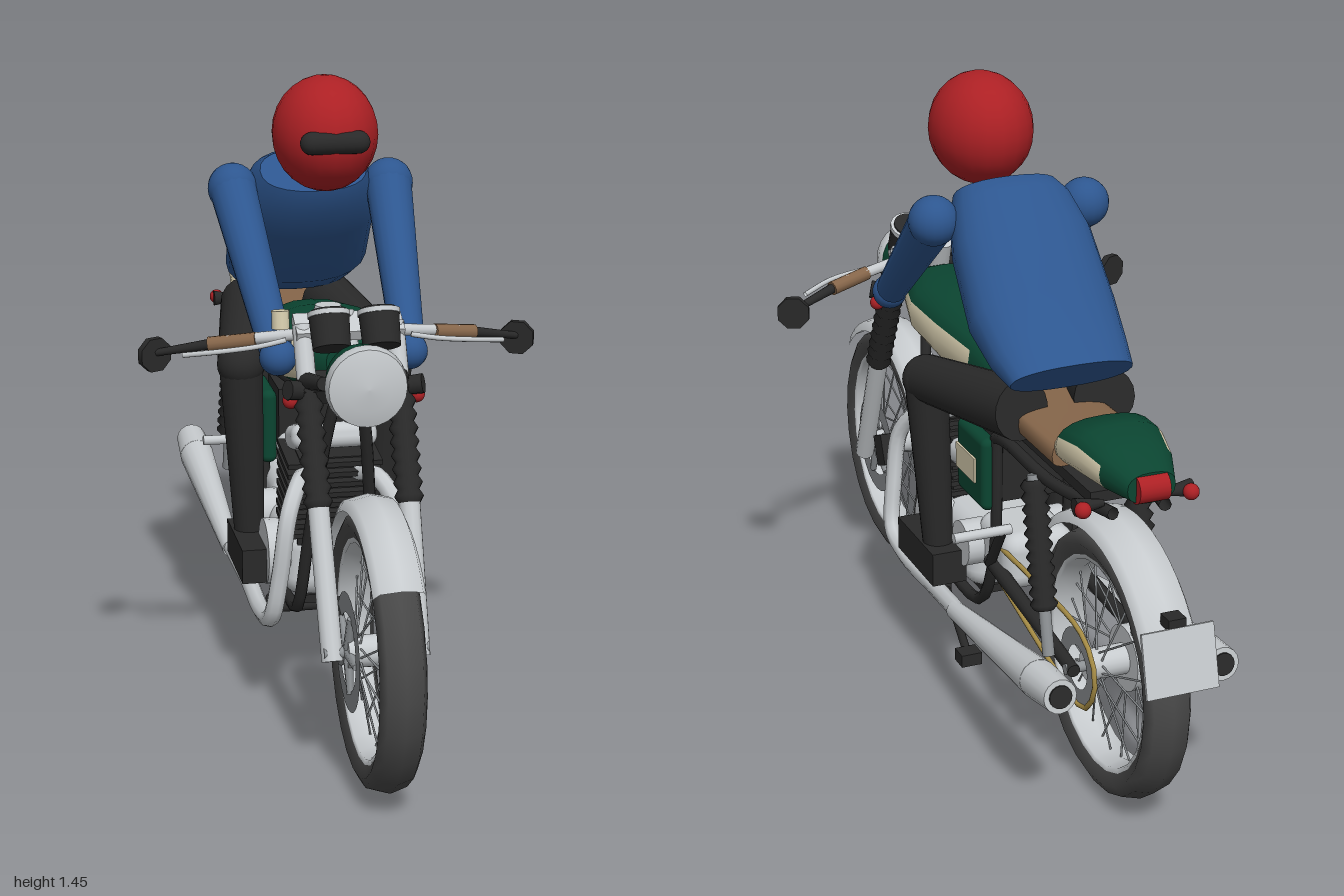
import * as THREE from 'three';
import { RoundedBoxGeometry } from 'three/addons/geometries/RoundedBoxGeometry.js';

const paint = (name, color) => new THREE.MeshStandardMaterial({ name, color, side: THREE.DoubleSide });
const V = (p) => new THREE.Vector3(...p);

export function createModel() {
  const red = paint('red', 0xac2024), blue = paint('blue', 0x2d568f), black = paint('black', 0x292929);
  const rubber = paint('rubber', 0x484848), silver = paint('silver', 0xc6cacd), grey = paint('grey', 0x8c9093);
  const green = paint('green', 0x0b4531), cream = paint('cream', 0xd9cfb0), brown = paint('brown', 0x86664a);
  const gold = paint('gold', 0xa68c45);
  const model = new THREE.Group();
  let parent = model;

  const add = (name, geo, mat, pos = [0, 0, 0], rot = [0, 0, 0]) => {
    const m = new THREE.Mesh(geo, mat);
    m.name = name;
    m.position.set(...pos);
    m.rotation.set(...rot);
    parent.add(m);
    return m;
  };
  const box = (name, size, mat, pos, rot) => add(name, new THREE.BoxGeometry(...size), mat, pos, rot);
  const ball = (name, r, mat, pos) => add(name, new THREE.SphereGeometry(r, 20, 14), mat, pos);
  // places a y-aligned geometry so that its axis runs from a to b
  const along = (name, make, mat, a, b) => {
    const d = V(b).sub(V(a)), m = add(name, make(d.length()), mat);
    m.position.copy(V(a)).addScaledVector(d, 0.5);
    m.quaternion.setFromUnitVectors(V([0, 1, 0]), d.normalize());
    return m;
  };
  const rod = (name, a, b, r1, r2, mat, seg = 12) =>
    along(name, (l) => new THREE.CylinderGeometry(r2, r1, l, seg), mat, a, b);
  // ribbed sleeve for gaiters and springs
  const bellows = (name, a, b, r1, r2, n, mat) => along(name, (l) => new THREE.LatheGeometry(
    Array.from({ length: 2 * n + 1 }, (_, i) => new THREE.Vector2(i % 2 ? r1 : r2, l * (i / (2 * n) - 0.5))), 12), mat, a, b);
  const pipe = (name, pts, r, mat, n = 28) =>
    add(name, new THREE.TubeGeometry(new THREE.CatmullRomCurve3(pts.map(V)), n, r, 8), mat);
  // revolves [radius, x] points about the x axis; angles run from +z up to +y
  const axle = (name, pts, mat, pos, from = 0, to = 360, seg = 24) => {
    const rad = Math.PI / 180;
    const g = new THREE.LatheGeometry(pts.map((p) => new THREE.Vector2(...p)), seg, from * rad, (to - from) * rad);
    return add(name, g.rotateZ(Math.PI / 2), mat, pos);
  };
  const disc = (name, r, w, mat, pos, seg = 20) =>
    add(name, new THREE.CylinderGeometry(r, r, w, seg), mat, pos, [0, 0, Math.PI / 2]);
  // skin over oval sections [z, y, halfWidth, halfHeight, tilt], listed front to back
  const loft = (name, rings, mats, pick = () => 0, power = 1, seg = 20) => {
    const pos = [], idx = [], g = new THREE.BufferGeometry();
    const bend = (v) => Math.sign(v) * Math.abs(v) ** power;
    const ring = ([z, y, w, h, t = 0]) => {
      for (let j = 0; j < seg; j++) {
        const a = (j / seg) * Math.PI * 2, u = bend(Math.sin(a)) * h;
        pos.push(bend(Math.cos(a)) * w, y + u * Math.cos(t), z + u * Math.sin(t));
      }
    };
    const tri = (m, ...v) => { g.addGroup(idx.length, v.length, m); idx.push(...v); };
    rings.forEach(ring);
    for (let i = 0; i < rings.length - 1; i++) for (let j = 0; j < seg; j++) {
      const a = i * seg + j, b = i * seg + (j + 1) % seg, c = a + seg, d = b + seg;
      tri(pick(i, j), a, c, b, b, c, d);
    }
    [rings[0], rings[rings.length - 1]].forEach((r, end) => {
      const s = pos.length / 3;
      ring(r);
      pos.push(0, r[1], r[0]);
      for (let j = 0; j < seg; j++) {
        const k = (j + 1) % seg;
        tri(0, s + seg, s + (end ? k : j), s + (end ? j : k));
      }
    });
    g.setAttribute('position', new THREE.Float32BufferAttribute(pos, 3));
    g.setIndex(idx);
    g.computeVertexNormals();
    return add(name, g, mats);
  };
  const group = (name, build) => {
    parent = new THREE.Group();
    parent.name = name;
    model.add(parent);
    build();
    parent = model;
  };
  const bothSides = (build) => [1, -1].forEach(build);

  // wheels with tyre, rim, spokes, hub and discs
  const wheel = (name, y, z, w) => group(name, () => {
    const c = [0, y, z];
    axle('tyre', [[0.238, -w * 0.7], [0.27, -w], [0.293, -w * 0.75], [0.305, 0], [0.293, w * 0.75], [0.27, w], [0.238, w * 0.7]], rubber, c);
    axle('rim', [[0.243, -w * 0.75], [0.232, -w * 0.7], [0.222, 0], [0.232, w * 0.7], [0.243, w * 0.75]], silver, c);
    disc('hub', 0.035, 0.13, silver, c);
    disc('axle', 0.012, 0.23, grey, c);
    for (let i = 0; i < 28; i++) {
      const a = (i / 28) * Math.PI * 2, b = a + (i % 4 < 2 ? 0.5 : -0.5), x = i % 2 ? 0.04 : -0.04;
      rod('spoke', [x, y + 0.035 * Math.sin(b), z + 0.035 * Math.cos(b)],
        [0, y + 0.228 * Math.sin(a), z + 0.228 * Math.cos(a)], 0.0025, 0.0025, grey, 5);
    }
  });
  wheel('frontWheel', 0.31, 0.69, 0.05);
  wheel('rearWheel', 0.315, -0.665, 0.055);
  bothSides((s) => {
    axle('brakeDisc', [[0.085, 0], [0.13, 0]], grey, [s * 0.062, 0.31, 0.69]);
    for (let i = 0; i < 5; i++) {
      const a = i * Math.PI * 0.4;
      rod('discArm', [s * 0.062, 0.31, 0.69], [s * 0.062, 0.31 + 0.09 * Math.sin(a), 0.69 + 0.09 * Math.cos(a)], 0.012, 0.008, grey, 6);
    }
    box('brakeCaliper', [0.04, 0.08, 0.06], black, [s * 0.075, 0.34, 0.575], [0.4, 0, 0]);
  });
  axle('sprocket', [[0.05, 0], [0.09, 0]], grey, [0.085, 0.315, -0.665]);
  disc('rearDrum', 0.075, 0.05, silver, [-0.05, 0.315, -0.665]);

  // mudguards and number plate
  const guard = (r, w) => [[r - 0.035, -w], [r - 0.01, -w * 0.8], [r, 0], [r - 0.01, w * 0.8], [r - 0.035, w]];
  axle('frontMudguard', guard(0.335, 0.056), silver, [0, 0.31, 0.69], 42, 156, 14);
  axle('rearMudguard', guard(0.35, 0.065), silver, [0, 0.315, -0.665], 42, 163, 16);
  box('numberPlate', [0.165, 0.14, 0.008], silver, [0, 0.47, -0.985], [0.25, 0, 0]);
  box('plateLamp', [0.04, 0.025, 0.04], black, [0, 0.545, -0.95]);

  // fork, clip-on bars, mirrors
  group('fork', () => {
    bothSides((s) => {
      rod('forkLower', [s * 0.095, 0.29, 0.69], [s * 0.1, 0.6, 0.552], 0.024, 0.024, silver);
      bellows('forkGaiter', [s * 0.1, 0.59, 0.557], [s * 0.103, 0.83, 0.435], 0.033, 0.024, 9, black);
      rod('forkTop', [s * 0.103, 0.83, 0.435], [s * 0.103, 0.95, 0.375], 0.022, 0.022, silver);
      rod('headlampBracket', [s * 0.105, 0.84, 0.43], [s * 0.085, 0.86, 0.53], 0.02, 0.015, black);
      ball('reflector', 0.018, red, [s * 0.14, 0.8, 0.44]);
      rod('indicatorStem', [s * 0.1, 0.82, 0.44], [s * 0.15, 0.83, 0.46], 0.02, 0.022, black);
      rod('handlebar', [s * 0.1, 0.93, 0.37], [s * 0.26, 0.91, 0.325], 0.013, 0.013, silver);
      rod('grip', [s * 0.2, 0.915, 0.345], [s * 0.3, 0.9, 0.31], 0.017, 0.017, brown);
      rod('barEnd', [s * 0.3, 0.9, 0.31], [s * 0.41, 0.875, 0.265], 0.012, 0.008, black);
      rod('mirror', [s * 0.41, 0.87, 0.27], [s * 0.417, 0.87, 0.254], 0.04, 0.04, black, 8);
      pipe('lever', [[s * 0.14, 0.92, 0.38], [s * 0.2, 0.91, 0.385], [s * 0.28, 0.9, 0.375], [s * 0.36, 0.885, 0.335]], 0.006, silver, 12);
      rod('gauge', [s * 0.055, 0.92, 0.47], [s * 0.055, 0.985, 0.435], 0.042, 0.045, black, 16);
      rod('gaugeRim', [s * 0.055, 0.982, 0.437], [s * 0.055, 0.992, 0.432], 0.047, 0.047, silver, 16);
      rod('gaugeFace', [s * 0.055, 0.99, 0.433], [s * 0.055, 0.996, 0.43], 0.039, 0.039, black, 16);
    });
    box('topYoke', [0.24, 0.025, 0.07], silver, [0, 0.945, 0.375], [0.45, 0, 0]);
    box('lowerYoke', [0.24, 0.035, 0.07], black, [0, 0.825, 0.43], [0.45, 0, 0]);
    rod('steeringStem', [0, 0.8, 0.42], [0, 0.97, 0.34], 0.03, 0.02, silver);
    rod('reservoir', [-0.15, 0.945, 0.375], [-0.15, 0.985, 0.37], 0.02, 0.02, cream);
  });

  // headlamp
  group('headlamp', () => {
    const bowl = (pts) => new THREE.LatheGeometry(pts.map((p) => new THREE.Vector2(...p)), 24).rotateX(Math.PI / 2);
    add('headlampShell', bowl([[0, 0.455], [0.05, 0.465], [0.075, 0.5], [0.082, 0.57]]), green, [0, 0.862, 0]);
    add('headlampRim', bowl([[0.082, 0.56], [0.09, 0.568], [0.085, 0.592]]), silver, [0, 0.862, 0]);
    add('headlampLens', bowl([[0.085, 0.592], [0.05, 0.602], [0, 0.606]]), silver, [0, 0.862, 0]);
  });

  // tank, seat and tail
  const sidePanel = (first, last) => (i, j) => (i >= first && i <= last && [0, 19, 8, 9, 10, 11, 18].includes(j) ? 1 : 0);
  loft('fuelTank', [[0.38, 0.865, 0.05, 0.035], [0.33, 0.855, 0.11, 0.062], [0.22, 0.843, 0.137, 0.077], [0.07, 0.835, 0.133, 0.086],
    [-0.08, 0.82, 0.105, 0.075], [-0.22, 0.8, 0.08, 0.045]], [green, cream], sidePanel(1, 3), 0.8);
  rod('fuelCap', [0, 0.915, 0.14], [0, 0.935, 0.14], 0.035, 0.03, silver, 16);
  loft('seat', [[-0.18, 0.785, 0.08, 0.025], [-0.35, 0.78, 0.11, 0.028], [-0.58, 0.783, 0.112, 0.03]], brown, undefined, 0.5);
  loft('tailHump', [[-0.56, 0.795, 0.1, 0.035], [-0.6, 0.815, 0.113, 0.056], [-0.68, 0.82, 0.103, 0.061], [-0.76, 0.81, 0.085, 0.05],
    [-0.835, 0.797, 0.055, 0.034]], [green, cream], sidePanel(0, 2), 0.8);
  disc('tailLamp', 0.032, 0.07, red, [0, 0.795, -0.825]);
  box('seatPan', [0.18, 0.025, 0.62], black, [0, 0.745, -0.42]);

  // frame, swingarm, shocks, stands and side covers
  group('frame', () => {
    bothSides((s) => {
      pipe('cradleTube', [[s * 0.02, 0.82, 0.39], [s * 0.04, 0.72, 0.365], [s * 0.07, 0.45, 0.29], [s * 0.085, 0.24, 0.22], [s * 0.085, 0.215, 0.12],
        [s * 0.085, 0.22, -0.1], [s * 0.09, 0.38, -0.2], [s * 0.09, 0.69, -0.22]], 0.014, black);
      pipe('rearTube', [[s * 0.09, 0.68, -0.21], [s * 0.1, 0.705, -0.3], [s * 0.1, 0.71, -0.55], [s * 0.06, 0.725, -0.78]], 0.014, black);
      pipe('topTube', [[s * 0.03, 0.78, 0.38], [s * 0.05, 0.73, 0.1], [s * 0.09, 0.71, -0.25]], 0.014, black);
      rod('swingarm', [s * 0.09, 0.36, -0.18], [s * 0.1, 0.315, -0.68], 0.018, 0.015, black);
      bellows('shockSpring', [s * 0.12, 0.7, -0.5], [s * 0.125, 0.42, -0.575], 0.032, 0.022, 11, black);
      rod('shockBody', [s * 0.12, 0.71, -0.495], [s * 0.125, 0.32, -0.6], 0.014, 0.014, grey);
      rod('footPeg', [s * 0.09, 0.49, -0.3], [s * 0.23, 0.49, -0.3], 0.012, 0.012, silver);
      rod('pegStrut', [s * 0.1, 0.36, -0.2], [s * 0.11, 0.49, -0.3], 0.012, 0.012, black);
      rod('rearIndicator', [s * 0.07, 0.74, -0.75], [s * 0.135, 0.74, -0.75], 0.008, 0.02, black);
      ball('indicatorLens', 0.018, red, [s * 0.125, 0.74, -0.77]);
      add('sideCover', new RoundedBoxGeometry(0.04, 0.18, 0.17, 3, 0.018), green, [s * 0.105, 0.59, -0.135]);
      box('sideCoverPanel', [0.008, 0.06, 0.115], cream, [s * 0.126, 0.59, -0.12]);
      rod('standLeg', [s * 0.085, 0.21, 0.12], [s * 0.12, 0.19, 0.03], 0.012, 0.012, black);
    });
    box('batteryBox', [0.16, 0.16, 0.15], black, [0, 0.6, -0.14]);
    rod('standCrossbar', [-0.12, 0.2, 0.12], [0.12, 0.2, 0.12], 0.012, 0.012, black);
    rod('sideStand', [0.1, 0.2, 0.12], [0.165, 0.145, -0.22], 0.01, 0.01, black);
    box('sideStandFoot', [0.05, 0.03, 0.045], black, [0.165, 0.143, -0.225]);
  });
  pipe('chainTop', [[0.085, 0.41, -0.2], [0.085, 0.415, -0.42], [0.085, 0.405, -0.68], [0.085, 0.36, -0.745], [0.085, 0.3, -0.755],
    [0.085, 0.23, -0.7], [0.085, 0.24, -0.6], [0.085, 0.33, -0.2]], 0.006, gold);

  // engine and exhausts
  group('engine', () => {
    add('crankcase', new RoundedBoxGeometry(0.22, 0.17, 0.3, 3, 0.05), silver, [0, 0.325, 0.04]);
    add('gearbox', new RoundedBoxGeometry(0.18, 0.14, 0.2, 3, 0.04), silver, [0, 0.38, -0.18]);
    box('sumpPlate', [0.14, 0.02, 0.26], black, [0, 0.235, 0.04]);
    bothSides((s) => {
      disc('engineCover', 0.078, 0.06, silver, [s * 0.115, 0.335, 0.1]);
      disc('clutchCover', 0.055, 0.06, silver, [s * 0.1, 0.37, -0.09]);
      rod('carburettor', [s * 0.06, 0.53, 0.08], [s * 0.06, 0.55, -0.05], 0.035, 0.03, silver);
      pipe('exhaustHeader', [[s * 0.06, 0.55, 0.2], [s * 0.09, 0.56, 0.27], [s * 0.125, 0.5, 0.325], [s * 0.145, 0.36, 0.328], [s * 0.16, 0.25, 0.3],
        [s * 0.165, 0.222, 0.2], [s * 0.165, 0.225, 0], [s * 0.18, 0.25, -0.2]], 0.021, silver, 40);
      rod('mufflerCone', [s * 0.18, 0.245, -0.18], [s * 0.192, 0.325, -0.7], 0.022, 0.044, silver, 16);
      rod('mufflerTip', [s * 0.192, 0.325, -0.7], [s * 0.192, 0.34, -0.815], 0.044, 0.038, silver, 16);
      rod('mufflerOutlet', [s * 0.192, 0.34, -0.815], [s * 0.192, 0.3405, -0.819], 0.026, 0.026, black, 16);
    });
    box('cylinderBlock', [0.16, 0.22, 0.11], black, [0, 0.49, 0.145], [0.12, 0, 0]);
    for (let i = 0; i < 8; i++) box('coolingFin', [0.22, 0.012, 0.15], black, [0, 0.415 + i * 0.025, 0.14 + i * 0.003], [0.12, 0, 0]);
    add('rockerCover', new RoundedBoxGeometry(0.2, 0.06, 0.13, 3, 0.025), silver, [0, 0.635, 0.175], [-0.3, 0, 0]);
  });

  // rider
  group('rider', () => {
    ball('helmet', 1, red, [0, 1.323, 0.098]).scale.set(0.12, 0.131, 0.14);
    const visor = add('visor', new THREE.CapsuleGeometry(0.026, 0.105, 6, 14), black, [0, 1.322, 0.222], [0, 0, Math.PI / 2]);
    visor.scale.set(1, 1, 0.95);
    loft('torso', [[-0.043, 1.213, 0.125, 0.06, -0.75], [-0.08, 1.18, 0.145, 0.09, -0.72], [-0.145, 1.115, 0.165, 0.1, -0.7],
      [-0.265, 0.985, 0.172, 0.1, -0.65], [-0.36, 0.925, 0.16, 0.078, -0.65], [-0.43, 0.897, 0.145, 0.055, -0.75]], blue, undefined, 0.85, 24);
    bothSides((s) => {
      ball('shoulder', 0.058, blue, [s * 0.185, 1.17, -0.075]);
      rod('arm', [s * 0.185, 1.17, -0.075], [s * 0.15, 0.885, 0.3], 0.055, 0.038, blue, 18);
      ball('hand', 0.042, blue, [s * 0.148, 0.868, 0.325]);
      rod('thigh', [s * 0.1, 0.815, -0.385], [s * 0.18, 0.765, 0], 0.07, 0.056, black, 18);
      ball('knee', 0.056, black, [s * 0.18, 0.765, -0.005]);
      rod('shin', [s * 0.18, 0.765, -0.005], [s * 0.16, 0.34, -0.02], 0.052, 0.036, black, 18);
      box('boot', [0.085, 0.082, 0.235], black, [s * 0.16, 0.312, 0.023]);
    });
  });
  return model;
}
